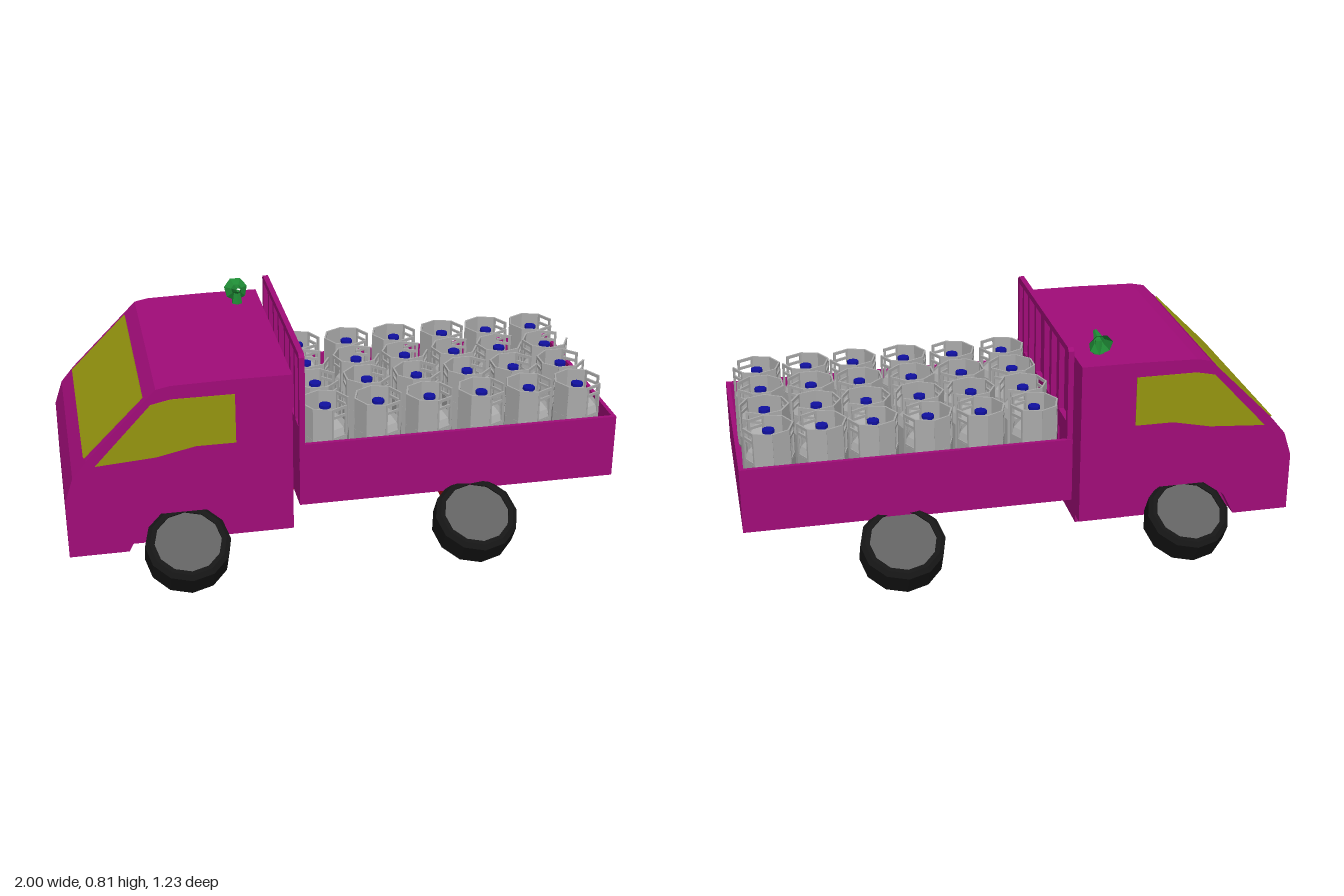
import * as THREE from 'three';
import { mergeGeometries } from 'three/addons/utils/BufferGeometryUtils.js';

const mat = (color) => new THREE.MeshStandardMaterial({ color, flatShading: true, side: THREE.DoubleSide });
const paint = mat(0xa00c78), glass = mat(0x95950f), red = mat(0xa01010), rubber = mat(0x161616);
const hubGrey = mat(0x606060), steel = mat(0xaaaaaa), blue = mat(0x1010a0), green = mat(0x1f8a35);

const shapeOf = (pts) => new THREE.Shape(pts.map(([x, y]) => new THREE.Vector2(x, y)));
const rect = (x0, x1, y0, y1) => [[x0, y0], [x1, y0], [x1, y1], [x0, y1]];

function add(parent, name, geometry, material) {
  const mesh = new THREE.Mesh(geometry, material);
  mesh.name = name;
  parent.add(mesh);
  return mesh;
}

// Side outline extruded from z0 to z1
function slab(parent, name, pts, z0, z1, material) {
  const g = new THREE.ExtrudeGeometry(shapeOf(pts), { depth: z1 - z0, bevelEnabled: false });
  return add(parent, name, g.translate(0, 0, z0), material);
}

// Box given by its limits
function block(parent, name, x0, x1, y0, y1, z0, z1, material) {
  const g = new THREE.BoxGeometry(x1 - x0, y1 - y0, z1 - z0);
  return add(parent, name, g.translate((x0 + x1) / 2, (y0 + y1) / 2, (z0 + z1) / 2), material);
}

function buildCab() {
  const cab = new THREE.Group();
  cab.name = 'cab';
  const upper = [[-0.2, 0.745], [-0.4, 0.745], [-0.62, 0.74], [-0.67, 0.73], [-0.92, 0.48], [-0.97, 0.42], [-1, 0.33]];
  const arch = [[-0.79, 0.11], [-0.75, 0.19], [-0.69, 0.25], [-0.5, 0.25], [-0.43, 0.2], [-0.36, 0.14], [-0.2, 0.14]];
  slab(cab, 'cabBody', [[-1, 0.11], [-0.2, 0.11], ...upper], -0.36, 0.35, paint);
  for (const [z0, z1] of [[-0.415, -0.36], [0.35, 0.4]]) {
    slab(cab, 'cabSide', [[-1, 0.11], ...arch, ...upper], z0, z1, paint);
  }
  const pane = [[-0.89, 0.46], [-0.68, 0.475], [-0.54, 0.505], [-0.4, 0.505], [-0.4, 0.69], [-0.62, 0.69], [-0.69, 0.675]];
  slab(cab, 'sideWindow', pane, 0.395, 0.403, glass);
  slab(cab, 'sideWindow', pane, -0.418, -0.41, glass);
  const screen = add(cab, 'windscreen', new THREE.BoxGeometry(0.3, 0.01, 0.75), glass);
  screen.position.set(-0.818, 0.582, -0.01);
  screen.rotation.z = Math.PI / 4;
  return cab;
}

// Small horn on the roof
function buildHorn() {
  const horn = new THREE.Group();
  horn.name = 'roofHorn';
  const profile = [[0.008, 0.045], [0.014, 0.02], [0.02, -0.01], [0.045, -0.035]].map(([r, y]) => new THREE.Vector2(r, y));
  const bell = add(horn, 'hornBell', new THREE.LatheGeometry(profile, 7), green);
  bell.rotation.x = Math.PI / 2 - 0.3;
  const foot = add(horn, 'hornFoot', new THREE.CylinderGeometry(0.012, 0.022, 0.05, 6), green);
  foot.position.y = -0.03;
  horn.position.set(-0.29, 0.798, -0.292);
  return horn;
}

function buildBed() {
  const bed = new THREE.Group();
  bed.name = 'loadBed';
  block(bed, 'bedFloor', -0.175, 1, 0.225, 0.24, -0.4, 0.39, paint);
  block(bed, 'sideWall', -0.175, 1, 0.225, 0.465, -0.4, -0.385, paint);
  block(bed, 'sideWall', -0.175, 1, 0.225, 0.465, 0.375, 0.39, paint);
  block(bed, 'frontWall', -0.175, -0.16, 0.225, 0.465, -0.4, 0.39, paint);
  block(bed, 'tailgate', 0.985, 1, 0.225, 0.465, -0.4, 0.39, paint);
  // Headboard rack
  for (const z of [0.38, 0.297, 0.207, 0.1, -0.033, -0.143, -0.255, -0.385]) {
    block(bed, 'rackPost', -0.175, -0.155, 0.4, 0.8, z - 0.012, z + 0.012, paint);
  }
  const rail = [[-0.397, 0.788], [0.392, 0.788], [0.392, 0.795], [0.378, 0.812], [-0.383, 0.812], [-0.397, 0.795]];
  const top = slab(bed, 'rackRail', rail.map(([z, y]) => [-z, y]), 0, 0.02, paint);
  top.rotation.y = Math.PI / 2;
  top.position.x = -0.175;
  block(bed, 'rackLowerRail', -0.175, -0.155, 0.465, 0.53, -0.395, 0.39, paint);
  return bed;
}

// Octagonal collar: solid guards, open handle frames and one gap
function collarGeometry() {
  const panels = [];
  const w = 0.034;
  for (let i = 1; i < 8; i++) {
    const s = shapeOf(rect(-w, w, 0.455, 0.575));
    if (i === 1 || i === 4 || i === 7) {
      s.holes.push(shapeOf(rect(-0.025, 0.025, 0.545, 0.564)));
      s.holes.push(shapeOf(rect(-0.026, 0.026, 0.462, 0.535)));
    }
    const g = new THREE.ExtrudeGeometry(s, { depth: 0.006, bevelEnabled: false });
    panels.push(g.translate(0, 0, 0.077).rotateY(Math.PI / 2 + i * Math.PI / 4));
  }
  return mergeGeometries(panels);
}

function buildGasBottles() {
  const load = new THREE.Group();
  load.name = 'gasBottles';
  const profile = [[0, 0.24], [0.08, 0.24], [0.09, 0.26], [0.09, 0.455], [0.075, 0.485], [0.045, 0.515], [0.015, 0.528], [0, 0.53]];
  const body = new THREE.LatheGeometry(profile.map(([r, y]) => new THREE.Vector2(r, y)), 8);
  body.rotateY(Math.PI / 8);
  const collar = collarGeometry();
  const stem = new THREE.CylinderGeometry(0.008, 0.008, 0.03, 6).translate(0, 0.535, 0);
  const knob = new THREE.CylinderGeometry(0.022, 0.022, 0.012, 8).translate(0, 0.553, 0);
  [-0.06, 0.135, 0.325, 0.52, 0.7, 0.885].forEach((x, i) => {
    [-0.285, -0.105, 0.08, 0.27].forEach((z, j) => {
      const bottle = new THREE.Group();
      bottle.name = 'gasBottle';
      add(bottle, 'bottleBody', body, steel);
      add(bottle, 'bottleCollar', collar, steel);
      add(bottle, 'valveStem', stem, blue);
      add(bottle, 'valveKnob', knob, blue);
      bottle.position.set(x, 0, z);
      bottle.rotation.y = ((i * 3 + j * 5) % 3 - 1) * 0.3;
      load.add(bottle);
    });
  });
  return load;
}

// Wheel lying with its axis along y, then splayed outwards
function buildWheel(x, side) {
  const wheel = new THREE.Group();
  wheel.name = 'wheel';
  const profile = [[0.118, -0.055], [0.135, -0.06], [0.151, -0.045], [0.151, 0.045], [0.135, 0.06], [0.118, 0.055], [0.118, -0.055]];
  add(wheel, 'tyre', new THREE.LatheGeometry(profile.map(([r, y]) => new THREE.Vector2(r, y)), 12), rubber);
  add(wheel, 'hub', new THREE.CylinderGeometry(0.12, 0.12, 0.1, 12), hubGrey);
  wheel.position.set(x, 0.135, side * 0.463);
  wheel.rotation.x = side * 0.55;
  return wheel;
}

export function createModel() {
  const truck = new THREE.Group();
  truck.name = 'truck';
  truck.add(buildCab(), buildHorn(), buildBed(), buildGasBottles());
  // Chassis beam with the rear cross member
  block(truck, 'chassisBeam', -0.2, 0.84, 0.135, 0.225, -0.155, 0.11, red);
  block(truck, 'rearCrossMember', 0.38, 0.53, 0.135, 0.224, -0.32, 0.32, red);
  for (const side of [1, -1]) {
    truck.add(buildWheel(-0.59, side), buildWheel(0.455, side));
  }
  return truck;
}
